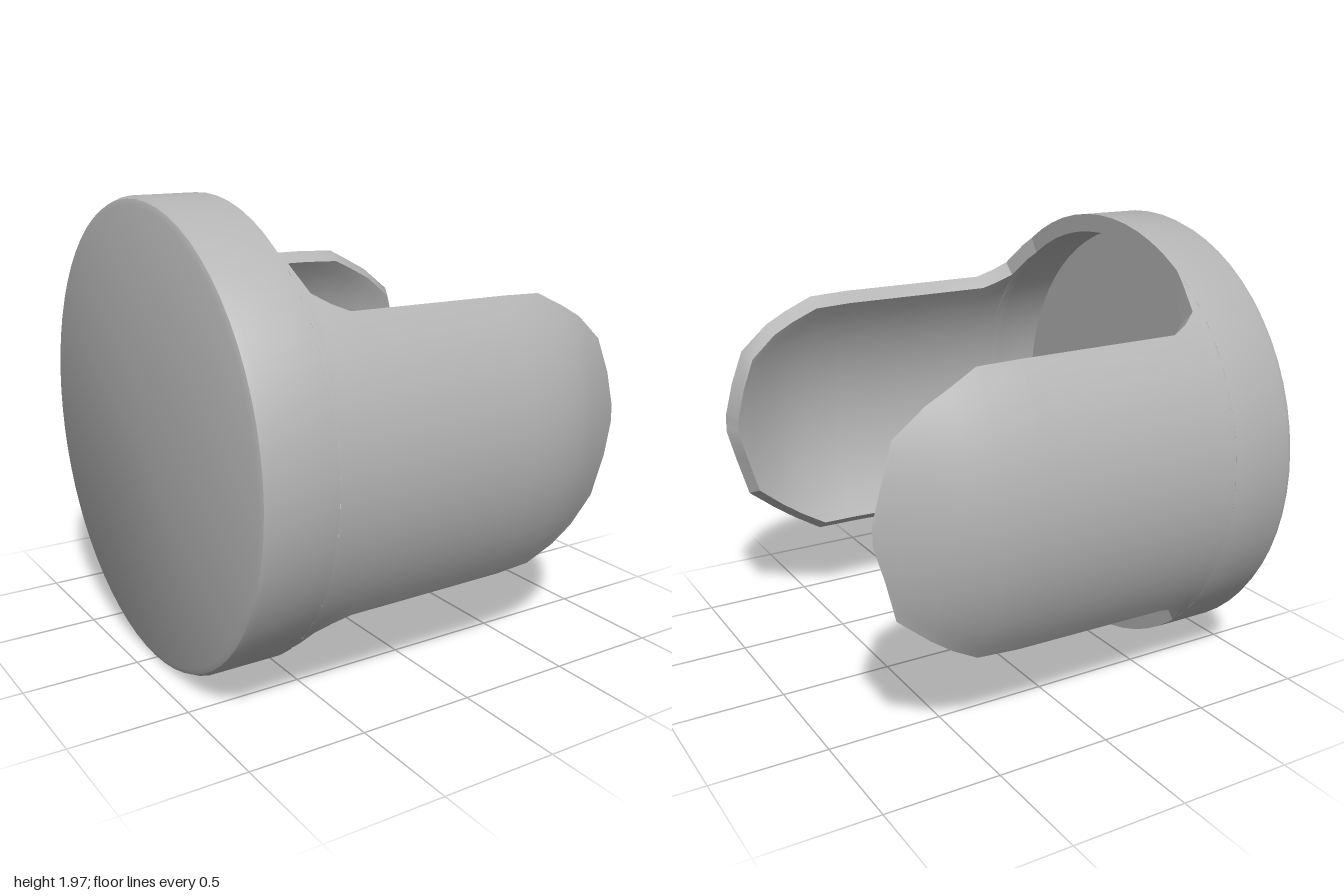
import * as THREE from 'three';
import { toCreasedNormals } from 'three/addons/utils/BufferGeometryUtils.js';

const CY = 0.985;      // height of the axis, and the outer radius along y
const INNER = 0.92;    // inside of the shell relative to the outside

// Skins a row of closed cross-sections, dropping collapsed triangles
function loft(sections, flip = false) {
  const pos = [];
  const tri = (a, b, c) => {
    const area = b.clone().sub(a).cross(c.clone().sub(a)).length();
    if (area < 1e-7) return;
    for (const p of flip ? [a, c, b] : [a, b, c]) pos.push(p.x, p.y, p.z);
  };
  for (let i = 0; i < sections.length - 1; i++) {
    const s = sections[i], t = sections[i + 1], n = s.length;
    for (let j = 0; j < n; j++) {
      const k = (j + 1) % n;
      tri(s[j], s[k], t[j]);
      tri(s[k], t[k], t[j]);
    }
  }
  const g = new THREE.BufferGeometry();
  g.setAttribute('position', new THREE.Float32BufferAttribute(pos, 3));
  return toCreasedNormals(g, 0.6);
}

// Round section of the base
function ring(x, r) {
  return Array.from({ length: 64 }, (_, i) => {
    const a = (i / 64) * Math.PI * 2;
    return new THREE.Vector3(x, CY + r * CY * Math.cos(a), r * Math.sin(a));
  });
}

// Curved shell section of a prong: outside from top to bottom, inside back up.
// Towards the tip the shell closes in and its inside stops a little earlier.
function prongSection([x, top, bottom, taper], side) {
  const N = 16, outer = [], inner = [];
  const xi = x - 0.2 * (1 - taper);
  const a0 = Math.acos((top - CY) / CY), a1 = Math.acos((bottom - CY) / CY);
  for (let i = 0; i <= N; i++) {
    const a = THREE.MathUtils.lerp(a0, a1, i / N);
    const dy = CY * Math.cos(a), z = side * taper * Math.sin(a);
    outer.push(new THREE.Vector3(x, CY + dy, z));
    inner.unshift(new THREE.Vector3(xi, CY + dy * INNER, z * INNER));
  }
  return [...outer, ...inner];
}

// Collapses the last section to its middle line so the tip is closed
function closeTip(sections) {
  const last = sections[sections.length - 1], n = last.length;
  const middle = last.map((p, j) => p.clone().lerp(last[n - 1 - j], 0.5));
  return [...sections, middle];
}

export function createModel() {
  const model = new THREE.Group();
  model.name = 'prongedCap';
  const grey = new THREE.MeshStandardMaterial({ color: 0xb4b4b4 });
  grey.name = 'grey';

  const add = (name, geometry) => {
    const mesh = new THREE.Mesh(geometry, grey);
    mesh.name = name;
    model.add(mesh);
  };

  // Cup: back disc, bevel, outer wall, rim, recess wall and floor
  add('baseCup', loft([
    ring(-0.925, 0), ring(-0.925, 0.965), ring(-0.915, 0.988), ring(-0.89, 1),
    ring(-0.61, 1), ring(-0.61, INNER), ring(-0.85, INNER), ring(-0.85, 0),
  ]));

  // Stations along each prong: x, top, bottom, outer taper
  const stations = [
    [-0.61, 1.8, 0.24, 1], [-0.595, 1.76, 0.27, 1], [-0.565, 1.66, 0.33, 1],
    [-0.5, 1.62, 0.365, 1], [-0.43, 1.59, 0.39, 1], [0.3, 1.583, 0.4, 1],
    [0.48, 1.575, 0.405, 0.98], [0.6, 1.515, 0.475, 0.952], [0.7, 1.46, 0.545, 0.915],
    [0.83, 1.35, 0.65, 0.85], [0.88, 1.2, 0.83, 0.825], [0.92, 1.05, 0.97, 0.805],
  ];
  for (const [name, side] of [['frontProng', 1], ['backProng', -1]]) {
    add(name, loft(closeTip(stations.map((s) => prongSection(s, side))), side < 0));
  }
  return model;
}
